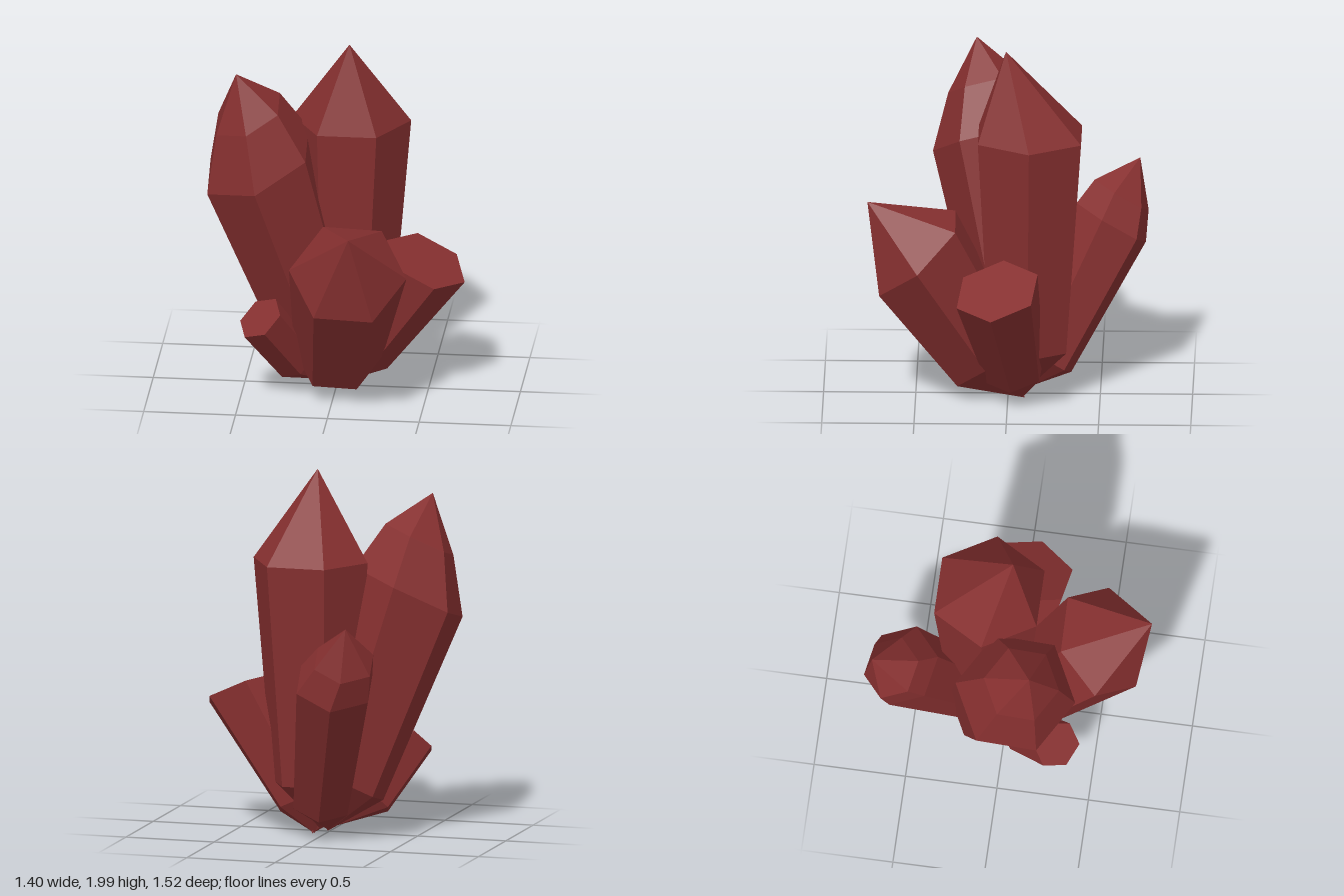
import * as THREE from 'three';

const SIDES = 6;
const material = new THREE.MeshStandardMaterial({ color: 0x852f2f, flatShading: true, roughness: 0.8 });

// Hexagonal prism with a pointed root, lofted through tilted rings [x, y, z, radius] up to a tip.
function crystal(name, { axis, spin, root, rings, tip }) {
  const tilt = new THREE.Quaternion().setFromUnitVectors(
    new THREE.Vector3(0, 1, 0), new THREE.Vector3(...axis).normalize());
  const loops = rings.map(([x, y, z, r]) => {
    const loop = [];
    for (let i = 0; i < SIDES; i++) {
      const a = THREE.MathUtils.degToRad(spin) + (i / SIDES) * Math.PI * 2;
      loop.push(new THREE.Vector3(r * Math.cos(a), 0, r * Math.sin(a))
        .applyQuaternion(tilt).add(new THREE.Vector3(x, y, z)));
    }
    return loop;
  });
  const bottom = new THREE.Vector3(...root);
  const top = new THREE.Vector3(...tip);
  const points = [];
  for (let i = 0; i < SIDES; i++) {
    const j = (i + 1) % SIDES;
    // root facet
    points.push(bottom, loops[0][i], loops[0][j]);
    // side facets
    for (let k = 0; k < loops.length - 1; k++) {
      const lo = loops[k], hi = loops[k + 1];
      points.push(lo[i], hi[i], lo[j], hi[i], hi[j], lo[j]);
    }
    // tip facet
    const last = loops[loops.length - 1];
    points.push(last[i], top, last[j]);
  }
  const geometry = new THREE.BufferGeometry().setFromPoints(points);
  geometry.computeVertexNormals();
  const mesh = new THREE.Mesh(geometry, material);
  mesh.name = name;
  return mesh;
}

export function createModel() {
  const group = new THREE.Group();
  group.name = 'crystalCluster';

  group.add(
    // tall upright centre crystal
    crystal('centreCrystal', {
      axis: [0, 1, 0], spin: 0, root: [0.02, 0.04, -0.1],
      rings: [[0.05, 0.3, -0.11, 0.24], [0.07, 1.52, -0.12, 0.323]],
      tip: [0.07, 2, 0.01],
    }),
    // tall leaning crystal with a two-step point
    crystal('rightTallCrystal', {
      axis: [-0.42, 1, 0.26], spin: 30, root: [-0.02, 0.03, -0.1],
      rings: [[-0.11, 0.3, -0.08, 0.24], [-0.42, 1.335, 0.09, 0.335], [-0.47, 1.62, 0.13, 0.21]],
      tip: [-0.53, 1.87, 0.18],
    }),
    // stout crystal leaning forward
    crystal('frontCrystal', {
      axis: [0.06, 1, 0.9], spin: 0, root: [0.07, 0.01, -0.09],
      rings: [[0.02, 0.24, 0.12, 0.24], [0.11, 0.85, 0.49, 0.32]],
      tip: [0.14, 1.155, 0.76],
    }),
    // slim crystal leaning backward with a two-step point
    crystal('backCrystal', {
      axis: [-0.27, 1, -0.6], spin: 18, root: [-0.03, 0.04, -0.12],
      rings: [[-0.02, 0.21, -0.2, 0.17], [-0.2, 0.925, -0.555, 0.225], [-0.27, 1.06, -0.61, 0.175]],
      tip: [-0.31, 1.26, -0.71],
    }),
    // flat-topped crystal on the left side
    crystal('leftFlatCrystal', {
      axis: [0.44, 1, 0.21], spin: 10, root: [0.06, 0.01, -0.08],
      rings: [[0.12, 0.18, -0.04, 0.17], [0.49, 0.77, 0.05, 0.24]],
      tip: [0.49, 0.77, 0.05],
    }),
    // small flat-topped crystal on the right side
    crystal('rightSmallCrystal', {
      axis: [-0.5, 0.75, 0.45], spin: 20, root: [-0.03, 0.04, 0],
      rings: [[-0.21, 0.19, 0.1, 0.125], [-0.385, 0.505, 0.31, 0.135]],
      tip: [-0.385, 0.505, 0.31],
    }),
  );
  return group;
}
